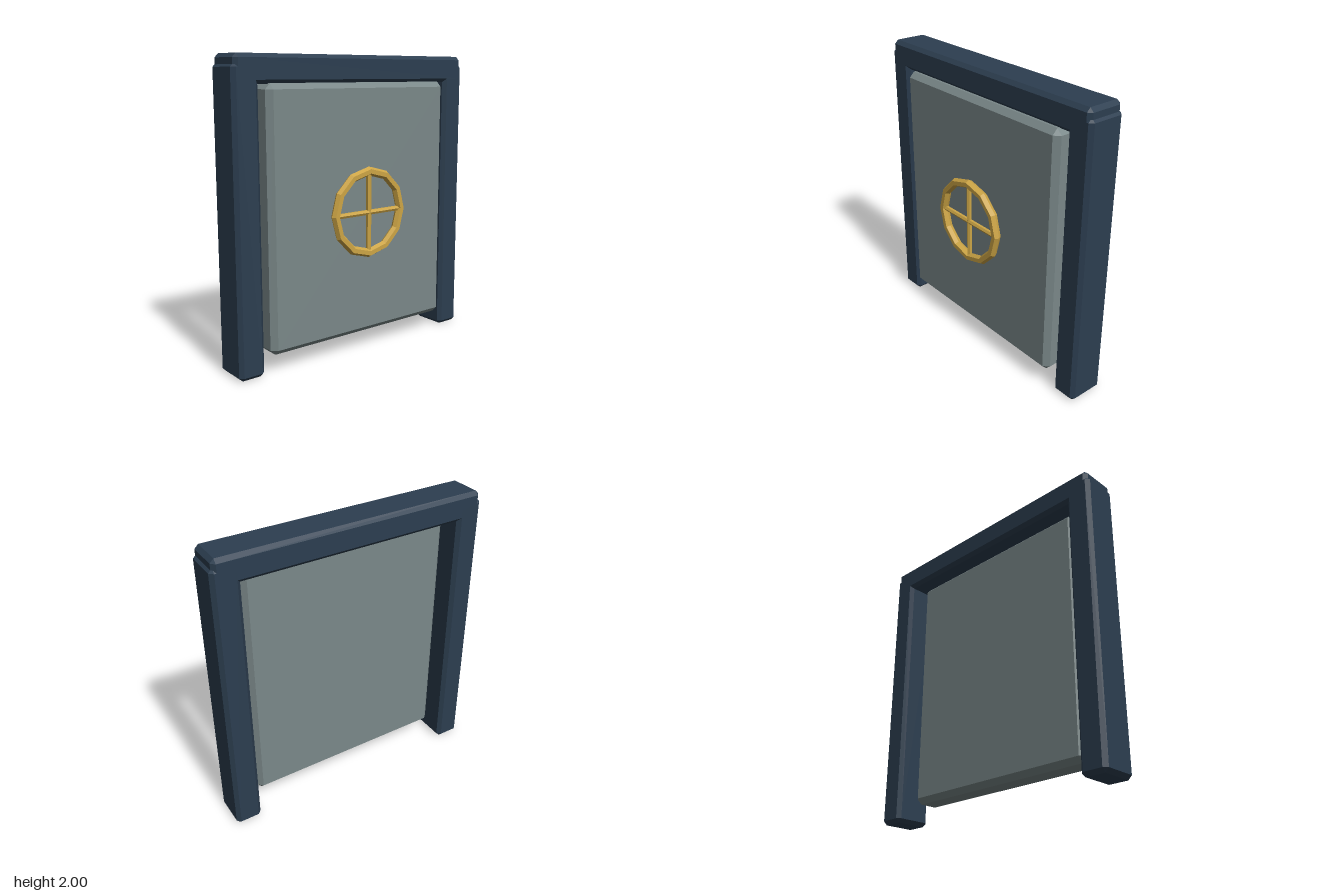
import * as THREE from 'three';
import { ConvexGeometry } from 'three/addons/geometries/ConvexGeometry.js';

// Box with every edge cut at 45 degrees, given by its min and max corners
function chamferedBox(min, max, bevel) {
  const points = [];
  for (let corner = 0; corner < 8; corner++) {
    const side = [corner & 1, (corner >> 1) & 1, (corner >> 2) & 1];
    for (let face = 0; face < 3; face++) {
      const p = side.map((s, axis) => {
        const inset = axis === face ? 0 : bevel;
        return s ? max[axis] - inset : min[axis] + inset;
      });
      points.push(new THREE.Vector3(...p));
    }
  }
  return new ConvexGeometry(points);
}

export function createModel() {
  const model = new THREE.Group();
  model.name = 'vaultDoor';

  const frameBlue = new THREE.MeshStandardMaterial({ name: 'frameBlue', color: 0x2c3e50, flatShading: true });
  const panelGrey = new THREE.MeshStandardMaterial({ name: 'panelGrey', color: 0x7a8889, flatShading: true });
  const brass = new THREE.MeshStandardMaterial({ name: 'brass', color: 0xcda545, flatShading: true });

  const add = (name, geometry, material, parent = model) => {
    const mesh = new THREE.Mesh(geometry, material);
    mesh.name = name;
    parent.add(mesh);
    return mesh;
  };

  // Frame: two posts and a slightly narrower lintel
  add('leftPost', chamferedBox([0.77, 0, -0.18], [0.95, 1.945, 0.08], 0.025), frameBlue);
  add('rightPost', chamferedBox([-0.95, 0, -0.18], [-0.77, 1.945, 0.08], 0.025), frameBlue);
  add('lintel', chamferedBox([-0.935, 1.82, -0.18], [0.935, 2, 0.08], 0.025), frameBlue);

  // Door slab
  add('doorPanel', chamferedBox([-0.733, 0.125, -0.08], [0.733, 1.825, 0.113], 0.036), panelGrey);

  // Hand wheel floating before the door
  const wheel = new THREE.Group();
  wheel.name = 'handWheel';
  wheel.position.set(0, 0.975, 0.16);
  model.add(wheel);
  add('wheelRim', new THREE.TorusGeometry(0.276, 0.03, 6, 12), brass, wheel);
  for (const [name, angle] of [['verticalSpoke', 0], ['horizontalSpoke', Math.PI / 2]]) {
    add(name, new THREE.CylinderGeometry(0.0175, 0.0175, 0.54, 6), brass, wheel).rotation.z = angle;
  }

  return model;
}
